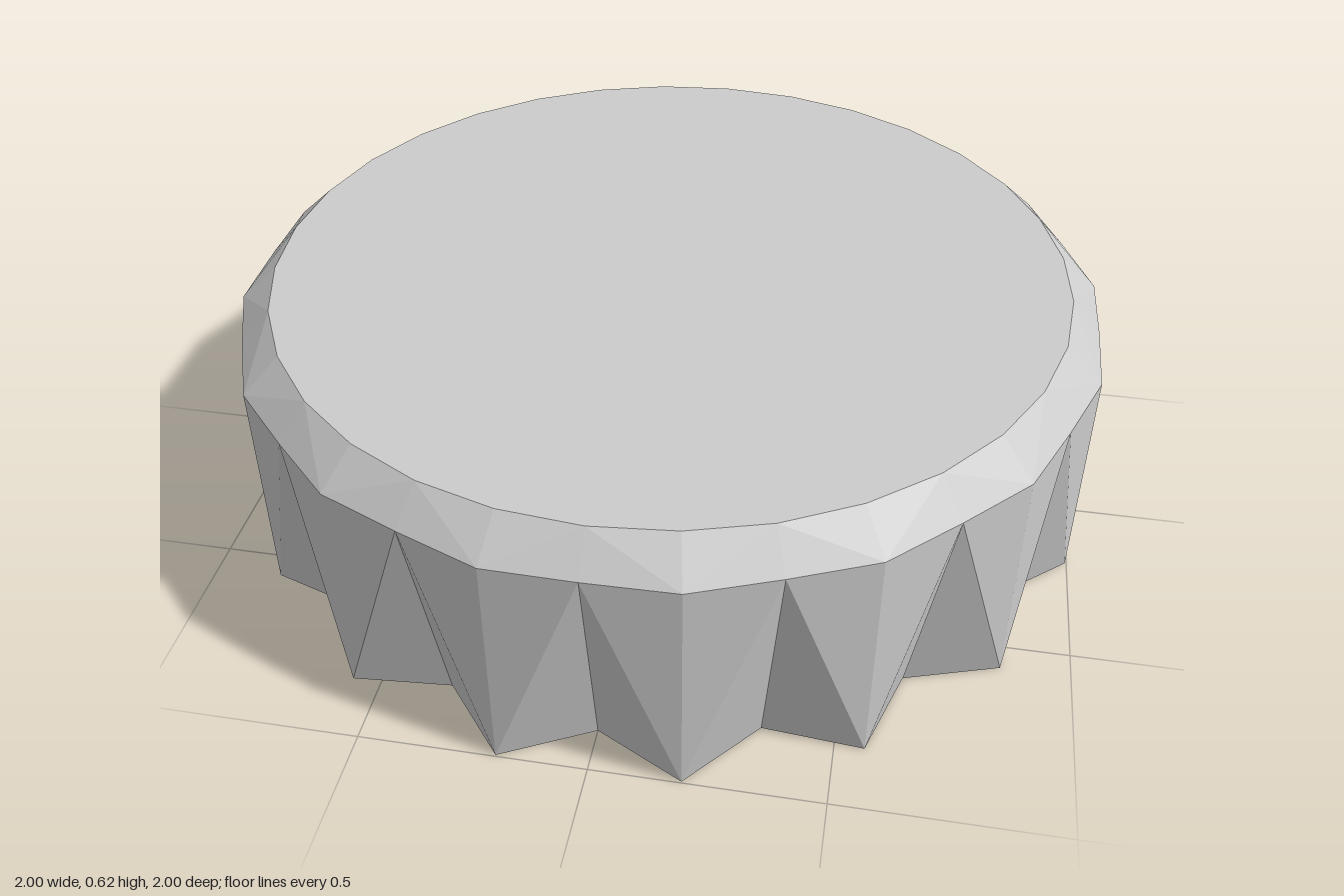
import * as THREE from 'three';

const RIDGES = 16;
const SIDES = RIDGES * 2;

// Rings from the rim up: height, radius at valleys (even) and at ridges (odd)
const RIM = { y: 0, valley: 0.895, ridge: 1.016 };
const SHOULDER = { y: 0.54, valley: 1.0, ridge: 1.016 };
const TOP = { y: 0.62, valley: 0.93, ridge: 0.93 };

function ringPoint(ring, i) {
  const a = (i / SIDES) * Math.PI * 2;
  const r = i % 2 ? ring.ridge : ring.valley;
  return [Math.sin(a) * r, ring.y, Math.cos(a) * r];
}

// Band between two rings; each diagonal runs from the lower ridge to the upper valley
function band(lower, upper) {
  const pos = [];
  for (let i = 0; i < SIDES; i++) {
    const a = ringPoint(lower, i), b = ringPoint(lower, i + 1);
    const c = ringPoint(upper, i + 1), d = ringPoint(upper, i);
    if (i % 2) pos.push(...a, ...b, ...c, ...a, ...c, ...d);
    else pos.push(...a, ...b, ...d, ...b, ...c, ...d);
  }
  const geo = new THREE.BufferGeometry();
  geo.setAttribute('position', new THREE.Float32BufferAttribute(pos, 3));
  geo.computeVertexNormals();
  return geo;
}

export function createModel() {
  const group = new THREE.Group();
  group.name = 'bottleCap';
  const metal = new THREE.MeshStandardMaterial({
    color: 0xcccccc, flatShading: true, side: THREE.DoubleSide,
  });
  const add = (name, geo) => {
    const mesh = new THREE.Mesh(geo, metal);
    mesh.name = name;
    group.add(mesh);
  };

  // Crimped skirt, open underneath
  add('crimpedSkirt', band(RIM, SHOULDER));
  // Bevelled shoulder
  add('bevelledShoulder', band(SHOULDER, TOP));
  // Flat top disc
  const disc = new THREE.CircleGeometry(TOP.valley, SIDES);
  disc.rotateX(-Math.PI / 2).translate(0, TOP.y, 0);
  add('topDisc', disc);

  return group;
}
